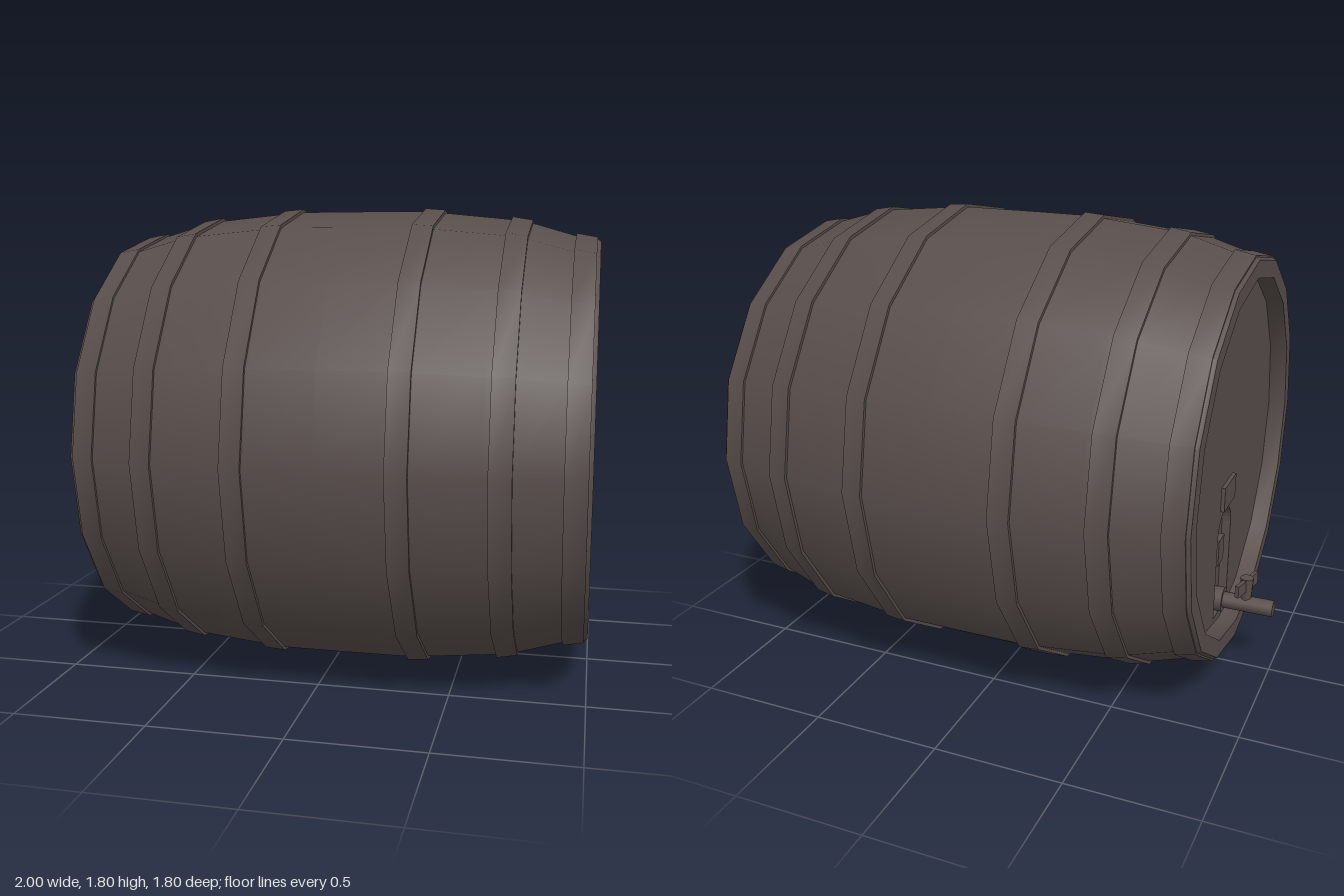
import * as THREE from 'three';
import { toCreasedNormals } from 'three/addons/utils/BufferGeometryUtils.js';

const SIDES = 16, CY = 0.906, CX = 0.073, HALF = 0.926, RECESS = 0.07, HEAD_R = 0.705;

export function createModel() {
  const group = new THREE.Group();
  group.name = 'barrel';
  const wood = new THREE.MeshStandardMaterial({ color: 0x584e4b });
  wood.name = 'dark wood';

  const add = (name, geo, x = 0, y = 0, z = 0) => {
    const mesh = new THREE.Mesh(geo, wood);
    mesh.name = name;
    mesh.position.set(x, y, z);
    group.add(mesh);
    return mesh;
  };

  // Lathe around the x axis; points are [radius, offset along x]
  const turned = (points) => {
    const geo = new THREE.LatheGeometry(points.map(([r, x]) => new THREE.Vector2(r, x)), SIDES);
    geo.rotateZ(-Math.PI / 2);
    return toCreasedNormals(geo, 0.5);
  };

  // Staves: half profile from the rim to the belly, mirrored
  const half = [
    [HEAD_R, HALF - RECESS], [HEAD_R, HALF], [0.772, HALF], [0.782, HALF - 0.015],
    [0.793, 0.83], [0.843, 0.66], [0.857, 0.57], [0.881, 0.33], [0.888, 0.24],
  ];
  const body = [
    ...half.map(([r, x]) => [r, -x]),
    [0.889, 0],
    ...half.slice().reverse(),
  ];
  add('staves', turned(body), CX, CY);

  // Hoops: [inner offset, outer offset, inner radius, outer radius]
  const hoops = [
    [0.832, 0.912, 0.803, 0.788],
    [0.588, 0.667, 0.867, 0.853],
    [0.248, 0.326, 0.9, 0.894],
  ];
  for (const side of [-1, 1]) {
    for (const [a, b, ra, rb] of hoops) {
      const profile = [[ra - 0.03, a], [ra, a], [rb, b], [rb - 0.03, b]].map(([r, x]) => [r, side * x]);
      if (side < 0) profile.reverse();
      add('hoop', turned(profile), CX, CY);
    }
  }

  // Plain head at +x
  const plainHead = new THREE.CircleGeometry(HEAD_R, SIDES);
  plainHead.rotateY(Math.PI / 2);
  add('plainHead', plainHead, CX + HALF - RECESS, CY);

  // Tap head at -x, with an arched niche cut into it
  const headX = CX - HALF + RECESS;
  const NICHE = 0.035;
  const arch = (Type) => {
    const p = new Type();
    p.moveTo(-0.1, -0.665);
    p.lineTo(0.1, -0.665);
    p.lineTo(0.1, -0.32);
    p.absarc(0, -0.32, 0.1, 0, Math.PI, false);
    p.lineTo(-0.1, -0.665);
    return p;
  };
  const disc = new THREE.Shape(Array.from({ length: SIDES }, (_, i) => {
    const a = (i / SIDES) * Math.PI * 2;
    return new THREE.Vector2(HEAD_R * Math.cos(a), HEAD_R * Math.sin(a));
  }));
  disc.holes.push(arch(THREE.Path));
  const headGeo = new THREE.ExtrudeGeometry(disc, { depth: NICHE, bevelEnabled: false, curveSegments: 8 });
  headGeo.rotateY(-Math.PI / 2);
  add('tapHead', headGeo, headX + NICHE, CY);
  const nicheGeo = new THREE.ShapeGeometry(arch(THREE.Shape), 8);
  nicheGeo.rotateY(-Math.PI / 2);
  add('nicheBack', nicheGeo, headX + NICHE, CY);

  // Plaque above the niche and a small block inside it
  add('plaque', new THREE.BoxGeometry(0.02, 0.1, 0.17), headX - 0.005, 0.755);
  add('nicheBlock', new THREE.BoxGeometry(0.03, 0.11, 0.08), headX + NICHE - 0.012, 0.5);

  // Tap: collar, spout, stem and turned handle
  const alongX = (r, length) => new THREE.CylinderGeometry(r, r, length, 12).rotateZ(Math.PI / 2);
  const tapY = 0.284;
  add('tapCollar', alongX(0.05, 0.05), headX + NICHE - 0.025, tapY);
  add('tapSpout', alongX(0.033, 1 + headX + NICHE), (headX + NICHE - 1) / 2, tapY);
  add('tapStem', new THREE.CylinderGeometry(0.027, 0.02, 0.115, 10), -0.887, 0.343);
  const handle = add('tapHandle', new THREE.BoxGeometry(0.016, 0.05, 0.165), -0.887, 0.372, -0.004);
  handle.rotation.y = -0.25;

  return group;
}
